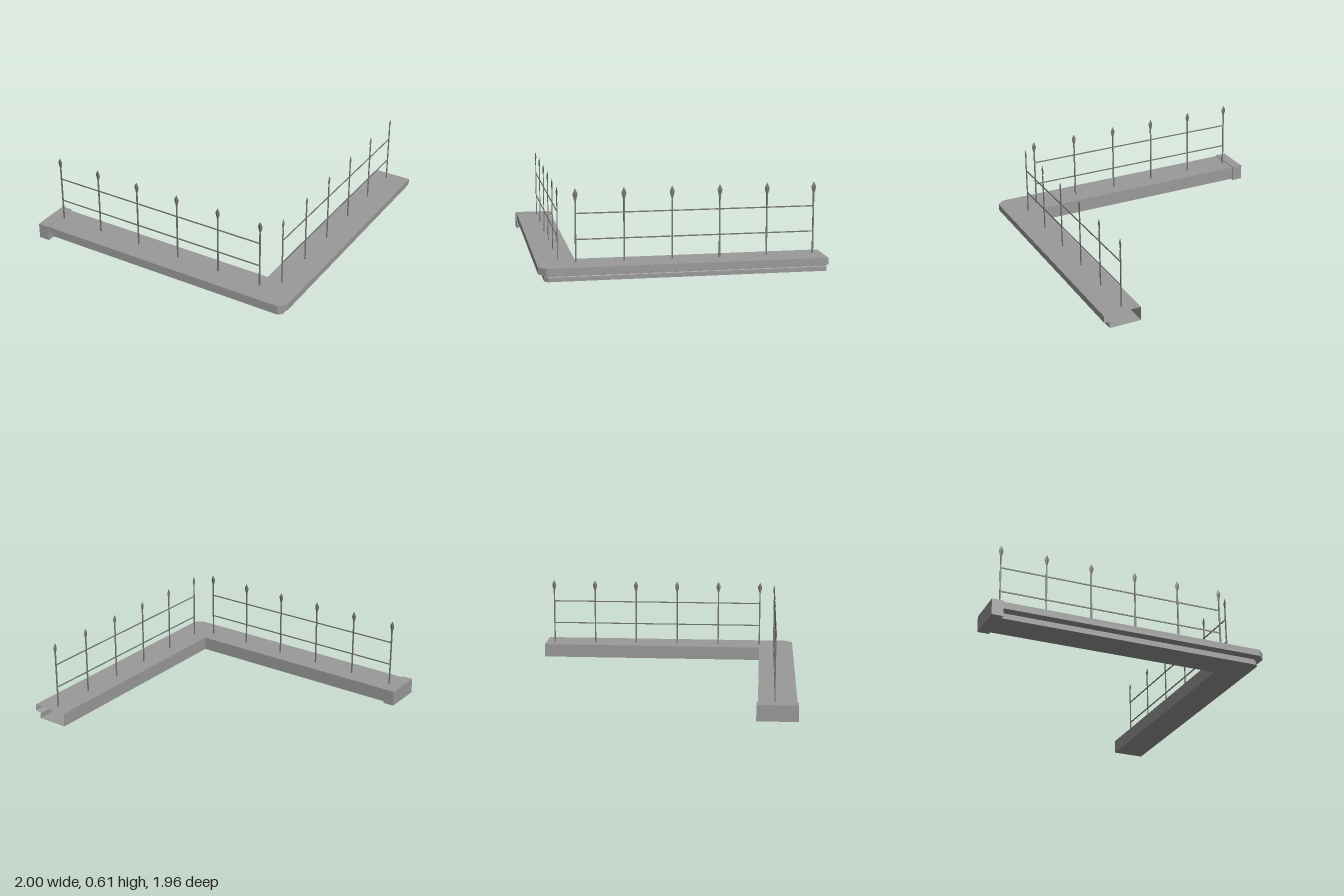
import * as THREE from 'three';

const stone = new THREE.MeshStandardMaterial({ color: 0x9a9a9a, flatShading: true });
const stoneOpen = new THREE.MeshStandardMaterial({ color: 0x9a9a9a, flatShading: true, side: THREE.DoubleSide });
const iron = new THREE.MeshStandardMaterial({ color: 0x777777, flatShading: true });

function addMesh(parent, name, geometry, material, x, y, z) {
  const mesh = new THREE.Mesh(geometry, material);
  mesh.name = name;
  mesh.position.set(x, y, z);
  parent.add(mesh);
}

// L-shaped ledge: a moulded section swept round a chamfered corner, open at its ends
function ledgeGeometry() {
  // [inset from the outer edge, height]; a null inset lies on the inner edge
  const profile = [
    [0, 0.107], [0, 0.06], [0.02, 0.057], [0.045, 0.049],
    [0.045, 0.042], [0.04, 0.038], [0.04, 0.008], [null, 0.008], [null, 0.107],
  ];
  const k = Math.SQRT2 - 1;
  const columns = profile.map(([d, y]) => {
    const plan = d === null
      ? [[-0.95, 0.71], [0.732, 0.71], [0.732, 0.71], [0.732, -0.98]]
      : [[-0.95, 0.972 - d], [0.95 - k * d, 0.972 - d], [1 - d, 0.922 - k * d], [1 - d, -0.98]];
    return plan.map(([x, z]) => new THREE.Vector3(x, y, z));
  });
  const positions = [];
  const triangle = (a, b, c) => {
    if (a.equals(b) || b.equals(c) || c.equals(a)) return;
    for (const v of [a, b, c]) positions.push(v.x, v.y, v.z);
  };
  columns.forEach((col, i) => {
    const next = columns[(i + 1) % columns.length];
    for (let s = 0; s < 3; s++) {
      triangle(col[s], next[s], next[s + 1]);
      triangle(col[s], next[s + 1], col[s + 1]);
    }
  });
  const geometry = new THREE.BufferGeometry();
  geometry.setAttribute('position', new THREE.Float32BufferAttribute(positions, 3));
  geometry.computeVertexNormals();
  return geometry;
}

// Flat iron railing running along +x from its first post
function railing(name) {
  const group = new THREE.Group();
  group.name = name;
  const count = 6, spacing = 0.325, length = spacing * (count - 1);
  const post = new THREE.BoxGeometry(0.01, 0.425, 0.006);
  const outline = [[0, 0.51], [0.005, 0.52], [0.016, 0.56], [0.015, 0.575], [0, 0.605]];
  const finial = new THREE.LatheGeometry(outline.map(([r, y]) => new THREE.Vector2(r, y)), 4);
  finial.scale(1, 1, 0.36);
  for (let i = 0; i < count; i++) {
    addMesh(group, 'post', post, iron, i * spacing, 0.3125, 0);
    addMesh(group, 'spearFinial', finial, iron, i * spacing, 0, 0);
  }
  const rail = new THREE.BoxGeometry(length, 0.008, 0.005);
  for (const y of [0.262, 0.437]) addMesh(group, 'rail', rail, iron, length / 2, y, 0);
  return group;
}

export function createModel() {
  const model = new THREE.Group();
  model.name = 'balconyLedge';

  addMesh(model, 'ledge', ledgeGeometry(), stoneOpen, 0, 0, 0);
  addMesh(model, 'endBlock', new THREE.BoxGeometry(0.08, 0.112, 0.28), stone, -0.96, 0.056, 0.84);

  const front = railing('frontRailing');
  front.position.set(-0.893, 0, 0.822);
  const side = railing('sideRailing');
  side.position.set(0.842, 0, 0.712);
  side.rotation.y = Math.PI / 2;
  model.add(front, side);

  return model;
}
